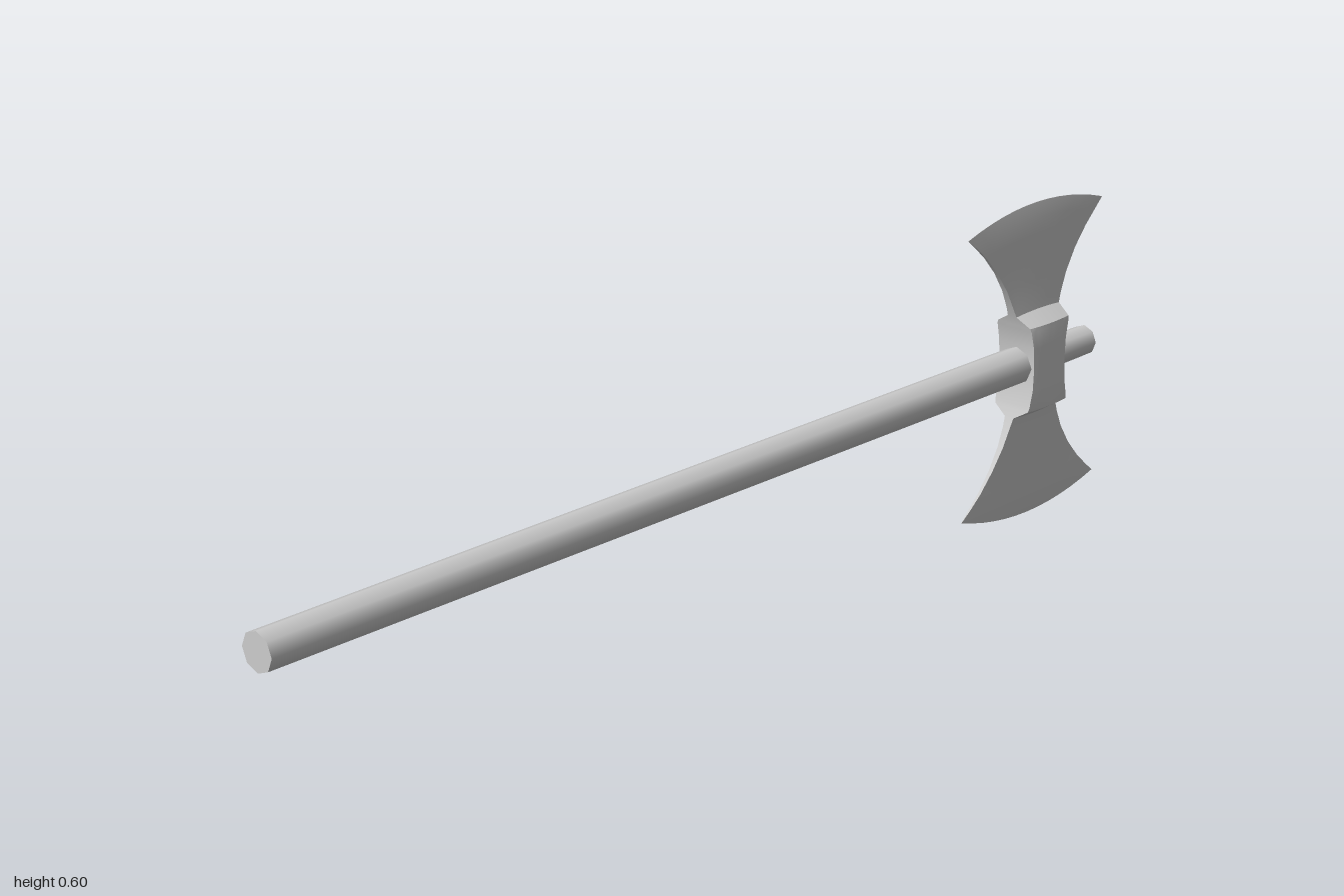
import * as THREE from 'three';
import { toCreasedNormals } from 'three/addons/utils/BufferGeometryUtils.js';

const AXIS_Y = 0.3;
const HEAD_Z = -0.81;

// Rows from the middle of the head to the cutting edge:
// [height above axis at the sides, half width in z, half thickness at middle, at sides, bulge of the row]
const HALF_ROWS = [
  [0, 0.043, 0.043, 0.041, 0],
  [0.04, 0.045, 0.043, 0.041, 0],
  [0.073, 0.052, 0.043, 0.04, 0],
  [0.08, 0.054, 0.042, 0.038, 0],
  [0.097, 0.06, 0.011, 0.01, 0.003],
  [0.115, 0.067, 0.0095, 0.008, 0.004],
  [0.15, 0.083, 0.0075, 0.006, 0.006],
  [0.19, 0.109, 0.006, 0.004, 0.01],
  [0.225, 0.139, 0.0055, 0.003, 0.015],
  [0.25, 0.166, 0.005, 0.002, 0.02],
  [0.268, 0.187, 0.0004, 0.0004, 0.031],
];

// Double-bladed head lofted through rows of cross-sections
function headGeometry() {
  const mirrored = HALF_ROWS.slice(1).reverse().map((r) => [-r[0], r[1], r[2], r[3], -r[4]]);
  const rows = [...mirrored, ...HALF_ROWS];
  const cols = 12;
  const ring = 2 * (cols + 1);
  const positions = [];
  const index = [];
  for (const [h, w, tMid, tSide, bulge] of rows) {
    for (let k = 0; k < ring; k++) {
      const side = k <= cols ? 1 : -1;
      const s = side > 0 ? 1 - (2 * k) / cols : -1 + (2 * (k - cols - 1)) / cols;
      const curve = 1 - s * s;
      positions.push(side * (tSide + (tMid - tSide) * curve), AXIS_Y + h + bulge * curve, HEAD_Z + s * w);
    }
  }
  for (let r = 0; r < rows.length - 1; r++) {
    for (let k = 0; k < ring; k++) {
      const a = r * ring + k;
      const b = r * ring + ((k + 1) % ring);
      index.push(a, b, b + ring, a, b + ring, a + ring);
    }
  }
  // Close the two thin cutting edges
  const top = (rows.length - 1) * ring;
  for (let k = 0; k < cols; k++) {
    const a = k, b = k + 1, c = ring - 2 - k, d = ring - 1 - k;
    index.push(a, d, c, a, c, b);
    index.push(top + a, top + c, top + d, top + a, top + b, top + c);
  }
  const geometry = new THREE.BufferGeometry();
  geometry.setAttribute('position', new THREE.Float32BufferAttribute(positions, 3));
  geometry.setIndex(index);
  return toCreasedNormals(geometry, 0.6);
}

// Eight-sided rod along z
function rod(name, radiusFront, radiusBack, zFront, zBack, material) {
  const geometry = new THREE.CylinderGeometry(radiusFront, radiusBack, zFront - zBack, 8);
  geometry.rotateX(Math.PI / 2);
  const mesh = new THREE.Mesh(geometry, material);
  mesh.name = name;
  mesh.position.set(0, AXIS_Y, (zFront + zBack) / 2);
  return mesh;
}

export function createModel() {
  const group = new THREE.Group();
  group.name = 'doubleAxe';
  const material = new THREE.MeshStandardMaterial({ color: 0xcccccc });

  const head = new THREE.Mesh(headGeometry(), material);
  head.name = 'axeHead';
  group.add(head);

  // Long shaft in front of the head and thinner stub behind it
  group.add(rod('handle', 0.035, 0.035, 1, HEAD_Z, material));
  group.add(rod('handleEnd', 0.03, 0.028, HEAD_Z, -0.96, material));
  return group;
}
